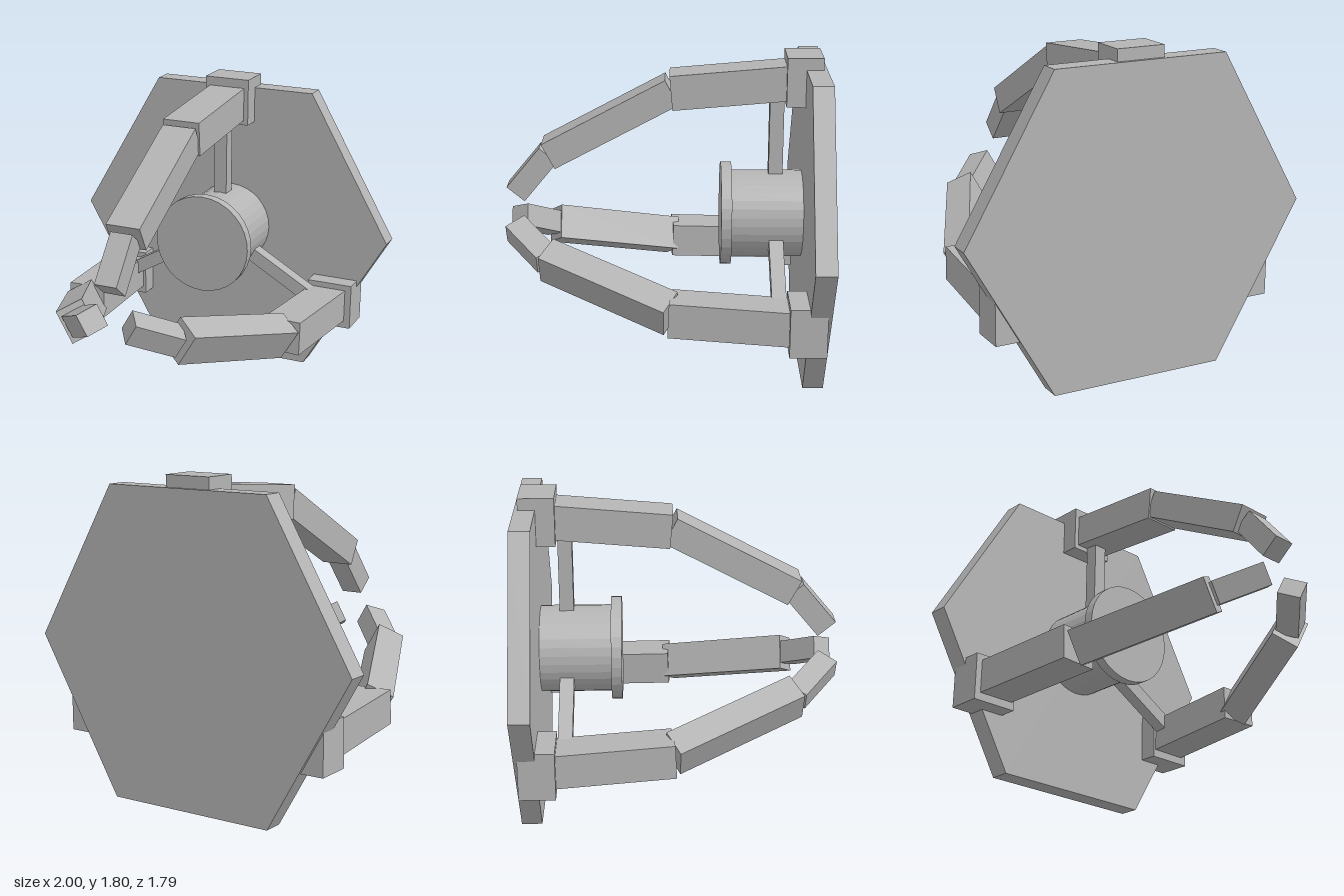
import * as THREE from 'three';

export function createModel() {
  const gray = new THREE.MeshStandardMaterial({ color: 0xb4b4b4, flatShading: true });
  gray.name = 'plain gray';
  const model = new THREE.Group();
  model.name = 'threeClawGripper';
  const CY = 0.866; // height of the central axis

  const add = (parent, name, geometry) => {
    const mesh = new THREE.Mesh(geometry, gray);
    mesh.name = name;
    parent.add(mesh);
    return mesh;
  };

  // Bar between two points, its width kept as level as possible
  const bar = (parent, name, from, to, width, height) => {
    const a = new THREE.Vector3(...from), b = new THREE.Vector3(...to);
    const mesh = add(parent, name, new THREE.BoxGeometry(width, height, a.distanceTo(b)));
    const frame = new THREE.Matrix4().lookAt(b, a, new THREE.Vector3(0, 1, 0));
    mesh.quaternion.setFromRotationMatrix(frame);
    mesh.position.copy(a).add(b).multiplyScalar(0.5);
    return mesh;
  };

  // Hexagonal back plate with corners on the left and right
  const hex = new THREE.CylinderGeometry(1, 1, 0.115, 6).rotateY(Math.PI / 6).rotateX(Math.PI / 2);
  add(model, 'backPlate', hex).position.set(0, CY, -0.8325);

  // Central drum and its front disc
  const disc = (name, r, z0, z1) => {
    const g = new THREE.CylinderGeometry(r, r, z1 - z0, 32).rotateX(Math.PI / 2);
    add(model, name, g).position.set(0, CY, (z0 + z1) / 2);
  };
  disc('drum', 0.248, -0.8, -0.375);
  disc('drumCap', 0.295, -0.375, -0.315);

  // Three claws around the axis: top, lower right, lower left
  ['topClaw', 'rightClaw', 'leftClaw'].forEach((name, i) => {
    const angle = i * Math.PI * 2 / 3;
    const at = (r, z) => [-Math.sin(angle) * r, Math.cos(angle) * r, z];
    const claw = new THREE.Group();
    claw.name = name;
    claw.position.y = CY;
    model.add(claw);

    // Mount and base link stay upright
    add(claw, 'mount', new THREE.BoxGeometry(0.275, 0.275, 0.2)).position.set(...at(0.795, -0.77));
    bar(claw, 'baseLink', at(0.787, -0.72), at(0.727, -0.033), 0.22, 0.195);

    // Outer links and spoke turn with the claw
    const turned = new THREE.Group();
    turned.name = 'outerLinks';
    turned.rotation.z = angle;
    claw.add(turned);
    bar(turned, 'middleLink', [0, 0.728, -0.037], [0, 0.358, 0.658], 0.2, 0.16);
    bar(turned, 'tipLink', [0, 0.356, 0.66], [0, 0.126, 0.85], 0.13, 0.13);
    add(turned, 'spoke', new THREE.BoxGeometry(0.08, 0.5, 0.08)).position.set(0, 0.47, -0.625);
  });

  return model;
}
